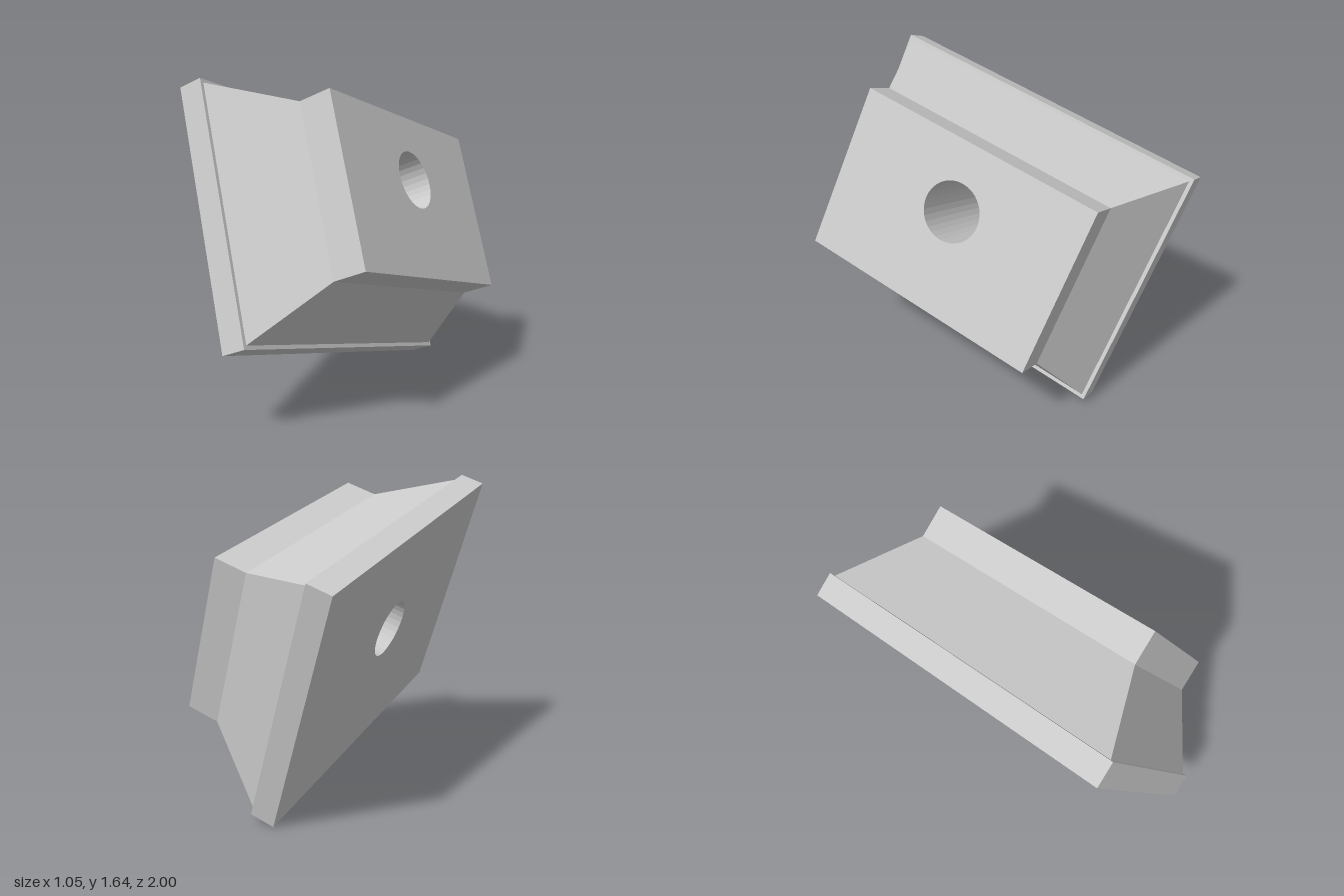
import * as THREE from 'three';

const HOLE_R = 0.155, HOLE_Y = 0.088, SIDES = 32, DEPTH = 0.7;

// Rectangular cross-sections [width, height, depth along the block axis]
const PLATE_BACK = [1.763, 1.325, 0];
const PLATE_FRONT = [1.763, 1.325, 0.13];
const TAPER_BASE = [1.724, 1.285, 0.13];
const NECK = [1.33, 0.88, 0.525];
const TOP = [1.33, 0.88, DEPTH];

const corners = ([w, h, z]) =>
  [[-1, -1], [1, -1], [1, 1], [-1, 1]].map(([x, y]) => [x * w / 2, y * h / 2, z]);

// Side walls joining successive rectangles, hard edged
function loft(sections) {
  const pos = [];
  for (let s = 0; s < sections.length - 1; s++) {
    const a = corners(sections[s]), b = corners(sections[s + 1]);
    for (let i = 0; i < 4; i++) {
      const j = (i + 1) % 4;
      pos.push(...a[i], ...a[j], ...b[j], ...a[i], ...b[j], ...b[i]);
    }
  }
  const geo = new THREE.BufferGeometry();
  geo.setAttribute('position', new THREE.Float32BufferAttribute(pos, 3));
  geo.computeVertexNormals();
  return geo;
}

// Flat rectangle pierced by the round hole
function piercedFace([w, h]) {
  const shape = new THREE.Shape(corners([w, h, 0]).map(([x, y]) => new THREE.Vector2(x, y)));
  const hole = [];
  for (let i = 0; i < SIDES; i++) {
    const t = -i / SIDES * Math.PI * 2;
    hole.push(new THREE.Vector2(HOLE_R * Math.cos(t), HOLE_Y + HOLE_R * Math.sin(t)));
  }
  shape.holes.push(new THREE.Path(hole));
  return new THREE.ShapeGeometry(shape);
}

export function createModel() {
  const model = new THREE.Group();
  model.name = 'taperedBlock';
  const body = new THREE.Group();
  body.name = 'tiltedBody';
  model.add(body);

  const add = (name, geo, side = THREE.FrontSide) => {
    const mesh = new THREE.Mesh(geo, new THREE.MeshStandardMaterial({
      color: 0xcccccc, flatShading: true, side }));
    mesh.name = name;
    body.add(mesh);
    return mesh;
  };

  // Base plate with its narrow ledge
  add('basePlate', loft([PLATE_BACK, PLATE_FRONT, TAPER_BASE]));
  add('plateBack', piercedFace(PLATE_BACK), THREE.BackSide);

  // Sloping sides rising to the straight head
  add('taperedSides', loft([TAPER_BASE, NECK]));
  add('headSides', loft([NECK, TOP]));
  add('headFace', piercedFace(TOP)).position.z = DEPTH;

  // Through hole
  const bore = new THREE.CylinderGeometry(HOLE_R, HOLE_R, DEPTH, SIDES, 1, true);
  bore.rotateX(Math.PI / 2);
  bore.translate(0, HOLE_Y, DEPTH / 2);
  add('holeWall', bore, THREE.BackSide);

  // Tilt: long edge, short edge and block axis
  const xAxis = new THREE.Vector3(0, -0.2184, -0.9758).normalize();
  const zAxis = new THREE.Vector3(0.932, 0.353, -0.079).normalize();
  const yAxis = new THREE.Vector3().crossVectors(zAxis, xAxis).normalize();
  zAxis.crossVectors(xAxis, yAxis);
  body.quaternion.setFromRotationMatrix(new THREE.Matrix4().makeBasis(xAxis, yAxis, zAxis));
  body.position.set(-0.29, 0.7975, 0.003);
  return model;
}
